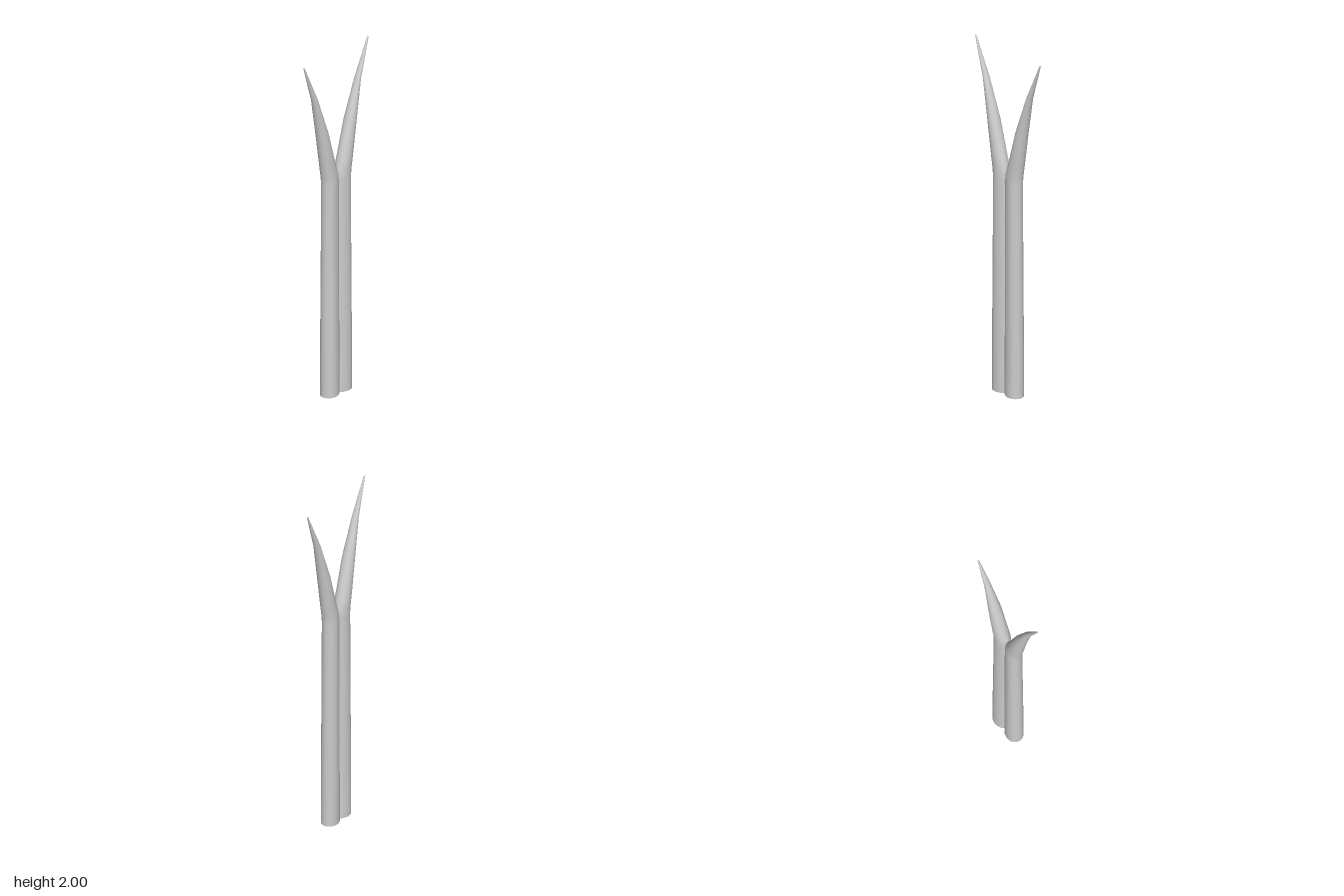
import * as THREE from 'three';
import { mergeVertices } from 'three/addons/utils/BufferGeometryUtils.js';

const SEGMENTS = 28;

// Cross-sections of one half: height, inner x, middle x, outer x, half depth.
// An inner x below 0 means the oval is cut by the centre plane.
const SECTIONS = [
  [0, -0.007, 0.055, 0.105, 0.047],
  [0.43, -0.007, 0.055, 0.103, 0.046],
  [0.82, -0.007, 0.054, 0.100, 0.044],
  [1.25, -0.006, 0.052, 0.099, 0.043],
  [1.30, 0, 0.056, 0.106, 0.042],
  [1.36, 0.020, 0.070, 0.115, 0.041],
  [1.56, 0.077, 0.111, 0.146, 0.036],
  [1.78, 0.154, 0.171, 0.188, 0.020],
  [2.00, 0.251, 0.255, 0.259, 0.004],
];

// Points of one oval section, left open along the centre plane where it is cut
function ring([y, inner, mid, outer, depth], side) {
  const reach = inner < 0 ? Math.acos(-mid / (mid - inner)) : Math.PI;
  const points = [];
  for (let i = 0; i <= SEGMENTS; i++) {
    const t = reach * (2 * i / SEGMENTS - 1);
    const c = Math.cos(t);
    const x = mid + c * (c > 0 ? outer - mid : mid - inner);
    points.push(new THREE.Vector3(side * x, y, depth * Math.sin(t)));
  }
  return points;
}

function build(points, faces, side) {
  const geometry = new THREE.BufferGeometry().setFromPoints(points);
  geometry.setIndex(faces.flatMap(([a, b, c]) => (side > 0 ? [a, b, c] : [a, c, b])));
  const merged = mergeVertices(geometry, 1e-5);
  merged.computeVertexNormals();
  return merged;
}

// Smooth wall lofted through all the sections
function wallGeometry(side) {
  const points = SECTIONS.flatMap((s) => ring(s, side));
  const faces = [];
  const row = SEGMENTS + 1;
  for (let j = 0; j < SECTIONS.length - 1; j++) {
    for (let i = 0; i < SEGMENTS; i++) {
      const a = j * row + i;
      const b = a + row;
      faces.push([a, b, a + 1], [a + 1, b, b + 1]);
    }
  }
  return build(points, faces, side);
}

// Flat fan closing a section
function capGeometry(section, side, up) {
  const points = ring(section, side);
  const faces = [];
  for (let i = 1; i < SEGMENTS; i++) faces.push(up ? [0, i + 1, i] : [0, i, i + 1]);
  return build(points, faces, side);
}

export function createModel() {
  const model = new THREE.Group();
  model.name = 'forkedProngs';
  const material = new THREE.MeshStandardMaterial({ color: 0xcccccc });

  // Two mirrored halves: joined stems that part into curved points
  for (const side of [1, -1]) {
    const half = new THREE.Group();
    half.name = side > 0 ? 'leftProng' : 'rightProng';
    const add = (name, geometry) => {
      const mesh = new THREE.Mesh(geometry, material);
      mesh.name = name;
      half.add(mesh);
    };
    add('stemAndPoint', wallGeometry(side));
    add('base', capGeometry(SECTIONS[0], side, false));
    add('tip', capGeometry(SECTIONS[SECTIONS.length - 1], side, true));
    model.add(half);
  }
  return model;
}
